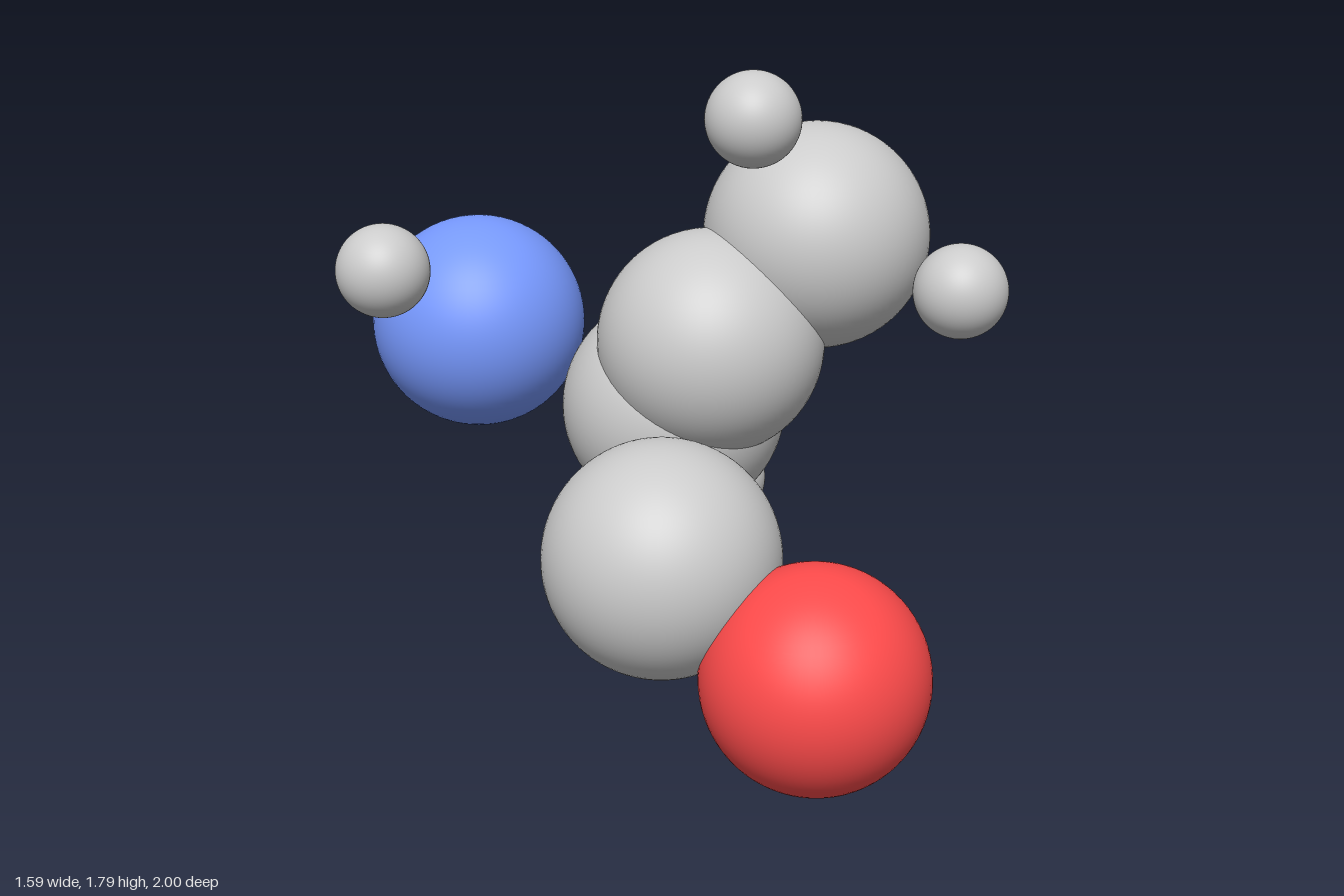
import * as THREE from 'three';

// Space-filling molecule: each atom is a smooth sphere sized by its kind.
const KINDS = {
  carbon: { radius: 0.323, color: 0xcccccc },
  hydrogen: { radius: 0.133, color: 0xcccccc },
  nitrogen: { radius: 0.311, color: 0x7799ff },
  oxygen: { radius: 0.307, color: 0xff4b4b },
};

// name, kind, centre
const ATOMS = [
  ['centreCarbon', 'carbon', [-0.01, 1.015, -0.01]],
  ['rearCarbon', 'carbon', [-0.023, 0.798, -0.148]],
  ['topCarbon', 'carbon', [0.286, 1.297, 0.12]],
  ['lowerCarbon', 'carbon', [-0.473, 0.57, 0.267]],
  ['oxygen', 'oxygen', [-0.33, 0.312, 0.692]],
  ['nitrogen', 'nitrogen', [-0.3, 1.0, -0.687]],
  ['nitrogenHydrogen', 'hydrogen', [-0.653, 1.22, -0.669]],
  ['topHydrogen', 'hydrogen', [0.012, 1.667, 0.131]],
  ['leftHydrogen', 'hydrogen', [0.662, 1.395, -0.124]],
  ['frontHydrogen', 'hydrogen', [0.41, 1.188, 0.548]],
  ['lowerHydrogen', 'hydrogen', [0.275, 0.469, -0.246]],
];

export function createModel() {
  const model = new THREE.Group();
  model.name = 'molecule';

  // One shared geometry and material per kind of atom
  const parts = {};
  for (const [kind, { radius, color }] of Object.entries(KINDS)) {
    parts[kind] = {
      geometry: new THREE.SphereGeometry(radius, 64, 40),
      material: new THREE.MeshStandardMaterial({ color }),
    };
  }

  for (const [name, kind, centre] of ATOMS) {
    const atom = new THREE.Mesh(parts[kind].geometry, parts[kind].material);
    atom.name = name;
    atom.position.set(...centre);
    model.add(atom);
  }
  return model;
}
